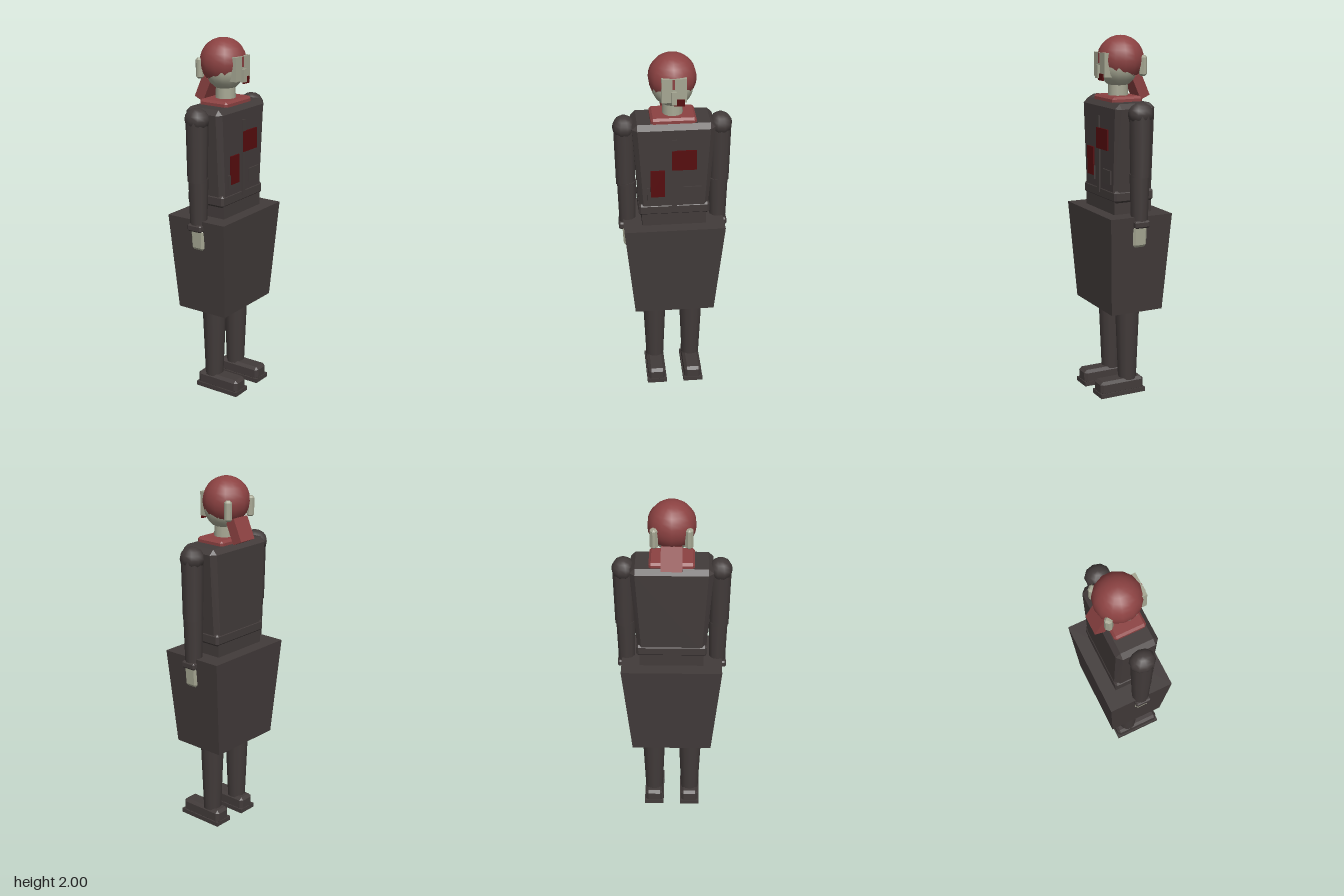
import * as THREE from 'three';
import { ConvexGeometry } from 'three/addons/geometries/ConvexGeometry.js';

// Box with every edge chamfered; bx and bz scale the bottom for a taper.
function chamferBox(w, h, d, c, bx = 1, bz = 1) {
  const pts = [];
  for (const sx of [-1, 1]) for (const sy of [-1, 1]) for (const sz of [-1, 1]) {
    const kx = sy < 0 ? bx : 1, kz = sy < 0 ? bz : 1;
    for (const [ix, iy, iz] of [[0, c, c], [c, 0, c], [c, c, 0]]) {
      pts.push(new THREE.Vector3(sx * (w / 2 - ix) * kx, sy * (h / 2 - iy), sz * (d / 2 - iz) * kz));
    }
  }
  return new ConvexGeometry(pts);
}

export function createModel() {
  const root = new THREE.Group();
  root.name = 'uniformedFigure';

  const material = (name, color) => {
    const m = new THREE.MeshStandardMaterial({ color });
    m.name = name;
    return m;
  };
  const cloth = material('dark cloth', 0x423b3a);
  const red = material('muted red', 0x8c4242);
  const deepRed = material('deep red', 0x560c0e);
  const skin = material('pale skin', 0xa5a692);

  const add = (name, geometry, mat, x, y, z, parent = root) => {
    const mesh = new THREE.Mesh(geometry, mat);
    mesh.name = name;
    mesh.position.set(x, y, z);
    parent.add(mesh);
    return mesh;
  };

  // Skirt: four-sided frustum, wider at the top
  const skirt = new THREE.BoxGeometry(0.552, 0.55, 0.37);
  const p = skirt.attributes.position;
  for (let i = 0; i < p.count; i++) {
    if (p.getY(i) < 0) p.setXYZ(i, p.getX(i) * 0.81, p.getY(i), p.getZ(i) * 0.84);
  }
  skirt.computeVertexNormals();
  add('skirt', skirt, cloth, 0, 0.775, -0.004);

  // Jacket
  add('waist', new THREE.BoxGeometry(0.35, 0.14, 0.225), cloth, 0, 1.06, -0.001);
  add('torso', chamferBox(0.44, 0.53, 0.236, 0.027, 0.85, 0.98), cloth, 0, 1.385, -0.002);
  add('belt', chamferBox(0.386, 0.066, 0.238, 0.012), cloth, 0, 1.148, -0.002);
  add('placket', new THREE.BoxGeometry(0.026, 0.42, 0.012), cloth, 0, 1.36, 0.118);
  for (const s of [-1, 1]) {
    add('pocket', new THREE.BoxGeometry(0.097, 0.075, 0.013), cloth, s * 0.098, 1.25, 0.117);
  }
  add('chestPatch', new THREE.BoxGeometry(0.132, 0.114, 0.009), deepRed, 0.053, 1.45, 0.123);
  add('lowerPatch', new THREE.BoxGeometry(0.077, 0.157, 0.009), deepRed, -0.089, 1.313, 0.123);

  // Collar and neck
  add('collar', chamferBox(0.242, 0.045, 0.18, 0.012), red, 0, 1.655, 0);
  add('neck', new THREE.CylinderGeometry(0.052, 0.056, 0.1, 12), skin, 0, 1.715, 0);

  // Head with a hair cap, face and ears
  const head = new THREE.Group();
  head.name = 'head';
  root.add(head);
  add('skull', new THREE.SphereGeometry(0.112, 14, 10), skin, 0, 1.828, 0, head).scale.set(1, 0.97, 0.94);
  const cap = add('hairCap', new THREE.SphereGeometry(0.128, 14, 10, 0, Math.PI * 2, 0, Math.PI * 0.73),
    red, 0, 1.872, -0.015, head);
  cap.rotation.y = -Math.PI / 2;
  cap.material.side = THREE.DoubleSide;
  add('facePlate', new THREE.BoxGeometry(0.13, 0.13, 0.05), skin, 0, 1.845, 0.088, head);
  add('browStripe', new THREE.BoxGeometry(0.012, 0.055, 0.006), red, -0.003, 1.88, 0.112, head);
  add('nose', new THREE.BoxGeometry(0.026, 0.07, 0.026), skin, -0.002, 1.808, 0.117, head);
  add('mouth', new THREE.BoxGeometry(0.056, 0.036, 0.009), deepRed, 0.025, 1.78, 0.115, head);
  for (const s of [-1, 1]) {
    const ear = add('ear', chamferBox(0.04, 0.11, 0.04, 0.01), skin, s * 0.09, 1.838, -0.106, head);
    ear.rotation.y = s * -Math.PI / 4;
  }
  const tail = add('hairTail', new THREE.BoxGeometry(0.11, 0.13, 0.06), red, 0, 1.722, -0.113, head);
  tail.rotation.x = 0.42;

  // Arms and legs, mirrored left and right
  for (const s of [-1, 1]) {
    const arm = new THREE.Group();
    arm.name = s > 0 ? 'leftArm' : 'rightArm';
    root.add(arm);
    add('shoulder', new THREE.SphereGeometry(0.062, 10, 8), cloth, s * 0.258, 1.6, -0.003, arm).scale.z = 1.14;
    add('upperArm', new THREE.CylinderGeometry(0.061, 0.054, 0.34, 10), cloth, s * 0.256, 1.435, -0.003, arm);
    add('forearm', new THREE.CylinderGeometry(0.054, 0.046, 0.27, 10), cloth, s * 0.251, 1.145, -0.001, arm);
    add('cuff', chamferBox(0.1, 0.04, 0.09, 0.008), cloth, s * 0.25, 1.01, 0, arm);
    add('hand', chamferBox(0.06, 0.12, 0.088, 0.014, 0.85, 0.9), skin, s * 0.25, 0.94, 0.004, arm);

    const leg = new THREE.Group();
    leg.name = s > 0 ? 'leftLeg' : 'rightLeg';
    root.add(leg);
    add('shin', new THREE.CylinderGeometry(0.07, 0.051, 0.48, 12), cloth, s * 0.106, 0.32, -0.003, leg);
    add('sole', new THREE.BoxGeometry(0.113, 0.025, 0.275), cloth, s * 0.106, 0.0125, 0.048, leg);
    add('shoe', chamferBox(0.1, 0.08, 0.268, 0.016), cloth, s * 0.106, 0.05, 0.048, leg);
  }
  return root;
}
